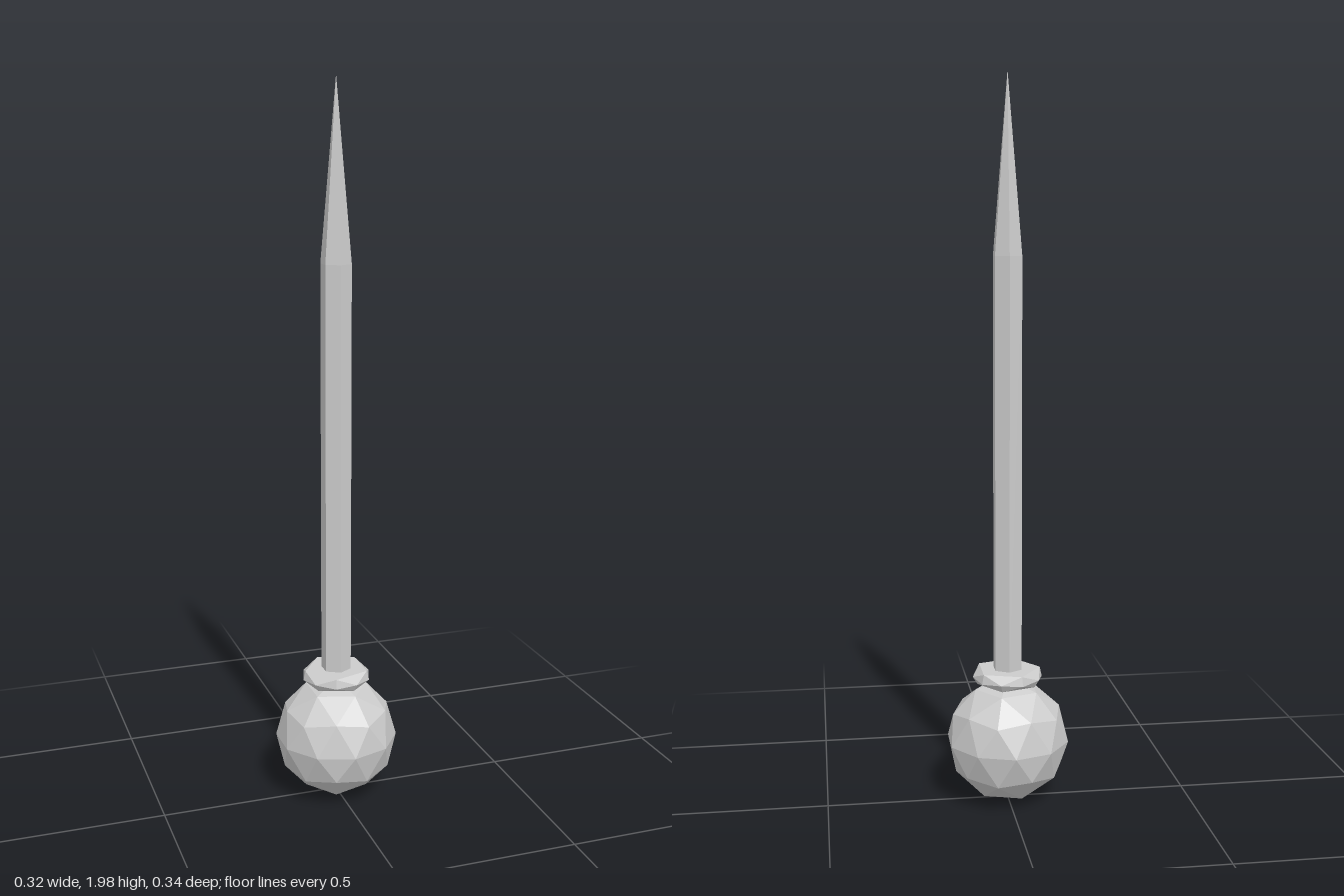
import * as THREE from 'three';
import { ConvexGeometry } from 'three/addons/geometries/ConvexGeometry.js';

const material = new THREE.MeshStandardMaterial({ color: 0xcccccc, flatShading: true });

function addPart(group, name, geometry, y = 0) {
  const mesh = new THREE.Mesh(geometry, material);
  mesh.name = name;
  mesh.position.y = y;
  group.add(mesh);
}

// Five points around the vertical axis
function pentagon(radius, y, startAngle) {
  return Array.from({ length: 5 }, (_, i) => {
    const a = startAngle + (i * Math.PI * 2) / 5;
    return new THREE.Vector3(radius * Math.cos(a), y, radius * Math.sin(a));
  });
}

export function createModel() {
  const group = new THREE.Group();
  group.name = 'spike';

  // Faceted ball with a corner pointing straight up
  const ball = new THREE.IcosahedronGeometry(0.17, 1);
  ball.rotateZ(-Math.atan(2 / (1 + Math.sqrt(5))));
  addPart(group, 'ball', ball, 0.178);

  // Collar: stacked pentagons, each turned half a step from the last
  addPart(group, 'collar', new ConvexGeometry([
    ...pentagon(0.09, 0.38, Math.PI),
    ...pentagon(0.097, 0.359, 0),
    ...pentagon(0.096, 0.354, Math.PI),
    ...pentagon(0.084, 0.338, 0),
  ]));

  // Six-sided shaft and its long point
  const radius = 0.042, bottom = 0.34, shoulder = 1.51, tip = 1.988;
  addPart(group, 'shaft',
    new THREE.CylinderGeometry(radius, radius, shoulder - bottom, 6, 1, true), (shoulder + bottom) / 2);
  addPart(group, 'point',
    new THREE.ConeGeometry(radius, tip - shoulder, 6, 1, true), (tip + shoulder) / 2);

  return group;
}
